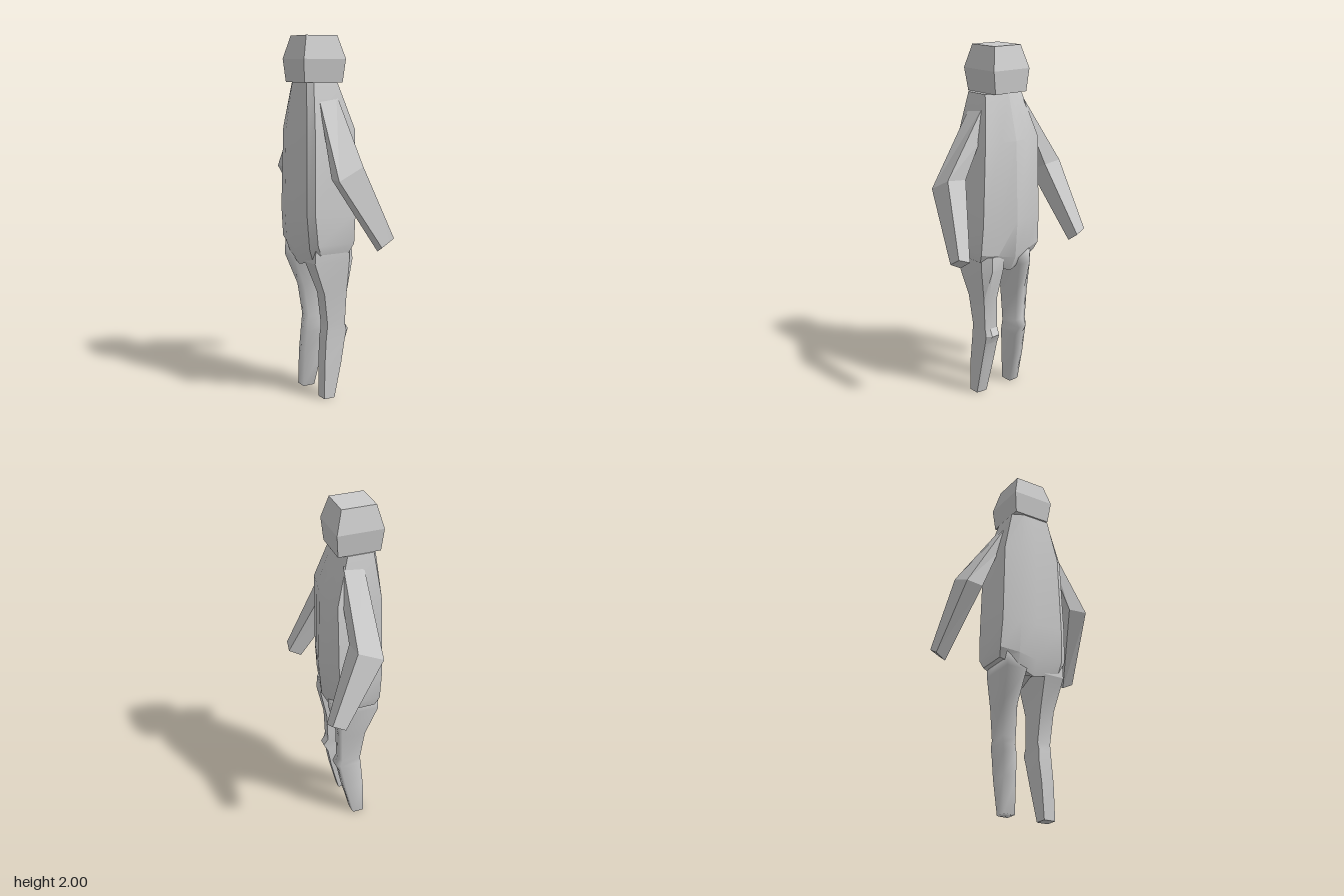
import * as THREE from 'three';
import { toCreasedNormals } from 'three/addons/utils/BufferGeometryUtils.js';

const material = new THREE.MeshStandardMaterial({ color: 0xcccccc });

// Closed skin through rings of points, listed top to bottom, each counter-clockwise from above
function loft(name, rings, crease) {
  const n = rings[0].length;
  const points = rings.flat();
  const index = [];
  for (let i = 0; i < rings.length - 1; i++) {
    for (let j = 0; j < n; j++) {
      const a = i * n + j, b = i * n + (j + 1) % n;
      index.push(a, a + n, b, b, a + n, b + n);
    }
  }
  const cap = (ring, start, flip) => {
    const centre = [0, 1, 2].map(k => ring.reduce((s, p) => s + p[k], 0) / n);
    const c = points.push(centre) - 1;
    for (let j = 0; j < n; j++) {
      const a = start + j, b = start + (j + 1) % n;
      index.push(c, flip ? b : a, flip ? a : b);
    }
  };
  cap(rings[0], 0, false);
  cap(rings[rings.length - 1], (rings.length - 1) * n, true);
  let geometry = new THREE.BufferGeometry();
  geometry.setAttribute('position', new THREE.Float32BufferAttribute(points.flat(), 3));
  geometry.setIndex(index);
  if (crease === undefined) geometry.computeVertexNormals();
  else geometry = toCreasedNormals(geometry, crease);
  const mesh = new THREE.Mesh(geometry, material);
  mesh.name = name;
  return mesh;
}

// Mirror rings across z, keeping their winding
const mirror = rings => rings.map(r => r.map(([x, y, z]) => [x, y, -z]).reverse());

// The body looks along +x, with one arm and leg on each z side
export function createModel() {
  const model = new THREE.Group();

  // Head: y, x range, z range
  const head = [
    [2.0, -0.165, 0.025, -0.10, 0.08],
    [1.875, -0.197, 0.06, -0.133, 0.113],
    [1.75, -0.185, 0.05, -0.12, 0.095],
  ].map(([y, x0, x1, z0, z1]) => [[x0, y, z1], [x1, y, z1], [x1, y, z0], [x0, y, z0]]);
  model.add(loft('head', head, 0.1));

  // Torso: y, back x, front corner x, front centre x, half width, drop at the middle
  const torso = [
    [1.75, -0.175, 0.0, 0.045, 0.125, 0],
    [1.5, -0.2, 0.075, 0.11, 0.185, 0],
    [1.05, -0.208, 0.072, 0.122, 0.2, 0],
    [0.88, -0.195, 0.06, 0.105, 0.207, 0.04],
    [0.83, -0.17, 0.035, 0.06, 0.195, 0.08],
  ].map(([y, xb, xc, xf, w, drop]) => {
    const xm = (xc + xf) / 2;
    return [
      [xb + 0.03, y, w], [xc, y, w], [xm, y - drop / 2, w / 2], [xf, y - drop, 0],
      [xm, y - drop / 2, -w / 2], [xc, y, -w], [xb + 0.03, y, -w],
      [xb, y - drop / 2, -w / 2], [xb, y - drop, 0], [xb, y - drop / 2, w * 0.8],
    ];
  });
  model.add(loft('torso', torso, 0.4));

  // Arms: shoulder, elbow and hand ends
  const arm = [
    [[-0.12, 1.69, 0.125], [-0.01, 1.69, 0.13], [0.01, 1.5, 0.175], [-0.11, 1.5, 0.175]],
    [[-0.14, 1.25, 0.385], [0.005, 1.32, 0.385], [0.01, 1.31, 0.27], [-0.125, 1.25, 0.28]],
    [[0.09, 0.89, 0.44], [0.165, 0.935, 0.44], [0.175, 0.91, 0.375], [0.1, 0.86, 0.38]],
  ];
  model.add(loft('rightArm', arm, 0.1));
  const leftArm = loft('leftArm', mirror(arm), 0.1);
  leftArm.position.set(0.035, 0.01, 0);
  model.add(leftArm);

  // Legs: y, back x, outer front x, front x, inner z, outer z
  const leg = [
    [0.86, -0.17, 0.04, 0.08, 0.06, 0.19],
    [0.78, -0.175, 0.04, 0.085, 0.07, 0.19],
    [0.6, -0.105, 0.035, 0.045, 0.085, 0.17],
    [0.42, -0.08, 0.03, 0.04, 0.08, 0.16],
    [0.38, -0.085, 0.04, 0.065, 0.085, 0.16],
    [0.33, -0.09, 0.03, 0.04, 0.08, 0.16],
    [0.2, -0.1, 0.005, 0.015, 0.09, 0.165],
    [0, -0.105, -0.04, -0.035, 0.1, 0.167],
  ].map(([y, x0, xc, x1, zi, zo]) => [
    [x0, y, zo], [xc, y, zo], [x1, y, zo - (zo - zi) * 0.35], [x1, y, zi], [x0, y, zi],
  ]);
  model.add(loft('rightLeg', leg, 0.4));
  const leftLeg = loft('leftLeg', mirror(leg));
  leftLeg.position.z = 0.022;
  model.add(leftLeg);

  return model;
}
